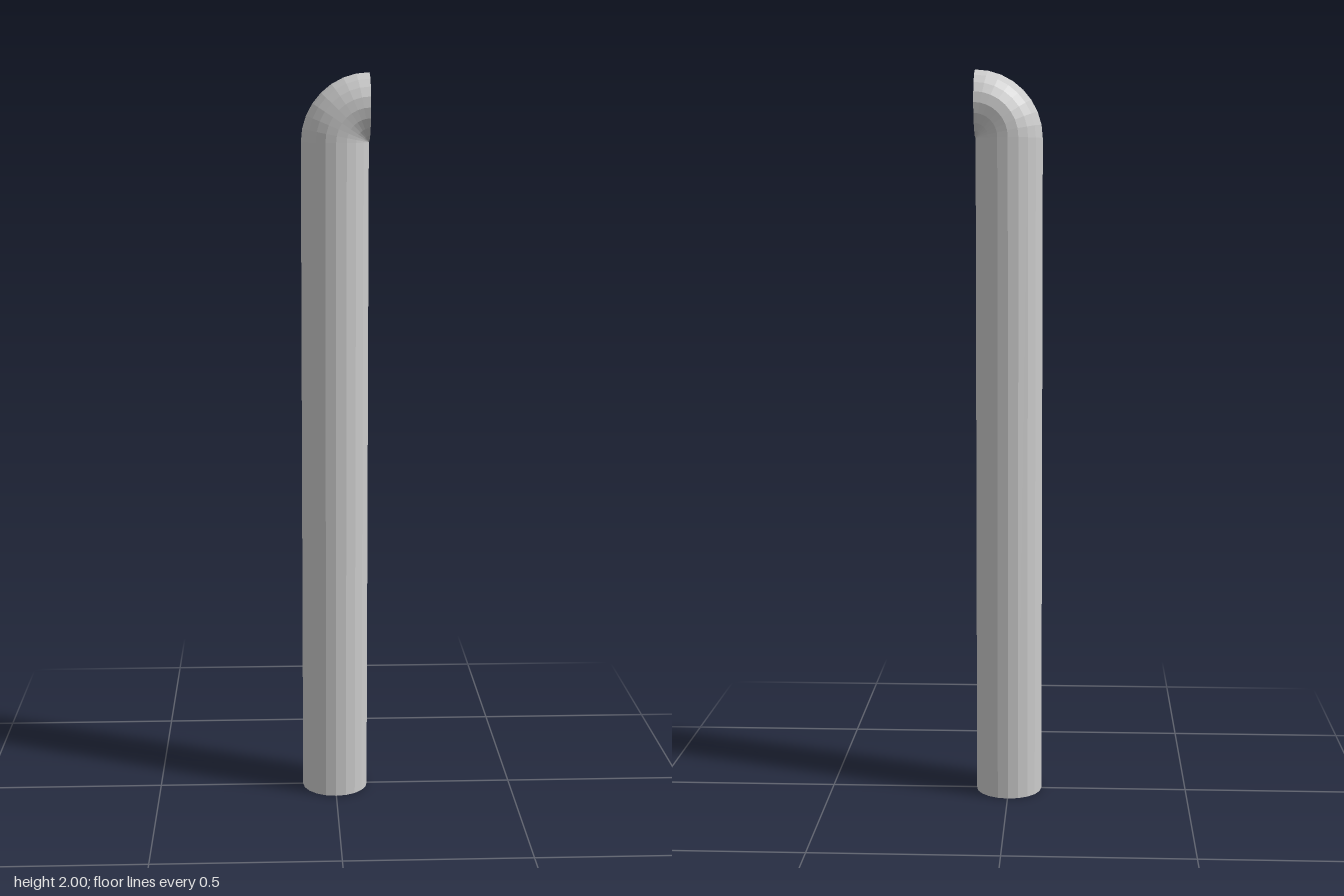
import * as THREE from 'three';

const SIDES = 20;
const RADIUS = 0.0905;      // pipe radius at the elbow
const BEND = 0.091;         // centreline radius of the elbow
const BEND_Y = 1.8185;      // height where the elbow starts
const MOUTH_X = 0.09;       // plane of the open mouth

export function createModel() {
  const group = new THREE.Group();
  const material = new THREE.MeshStandardMaterial({
    color: 0xcccccc, flatShading: true, side: THREE.DoubleSide,
  });
  const add = (name, geometry, x, y) => {
    const mesh = new THREE.Mesh(geometry, material);
    mesh.name = name;
    mesh.position.set(x, y, 0);
    group.add(mesh);
  };
  const axisX = MOUTH_X - BEND;

  // Upright pipe, very slightly wider at the foot, open at the top
  add('uprightPipe',
    new THREE.CylinderGeometry(RADIUS, 0.0915, BEND_Y, SIDES, 1, true), axisX, BEND_Y / 2);

  // Closed foot, facing down
  add('baseCap', new THREE.CircleGeometry(0.0915, SIDES).rotateX(Math.PI / 2), axisX, 0);

  // Tight quarter-turn elbow with an open mouth facing +x
  add('elbow',
    new THREE.TorusGeometry(BEND, RADIUS, SIDES, 8, Math.PI / 2).rotateZ(Math.PI / 2), MOUTH_X, BEND_Y);

  return group;
}
